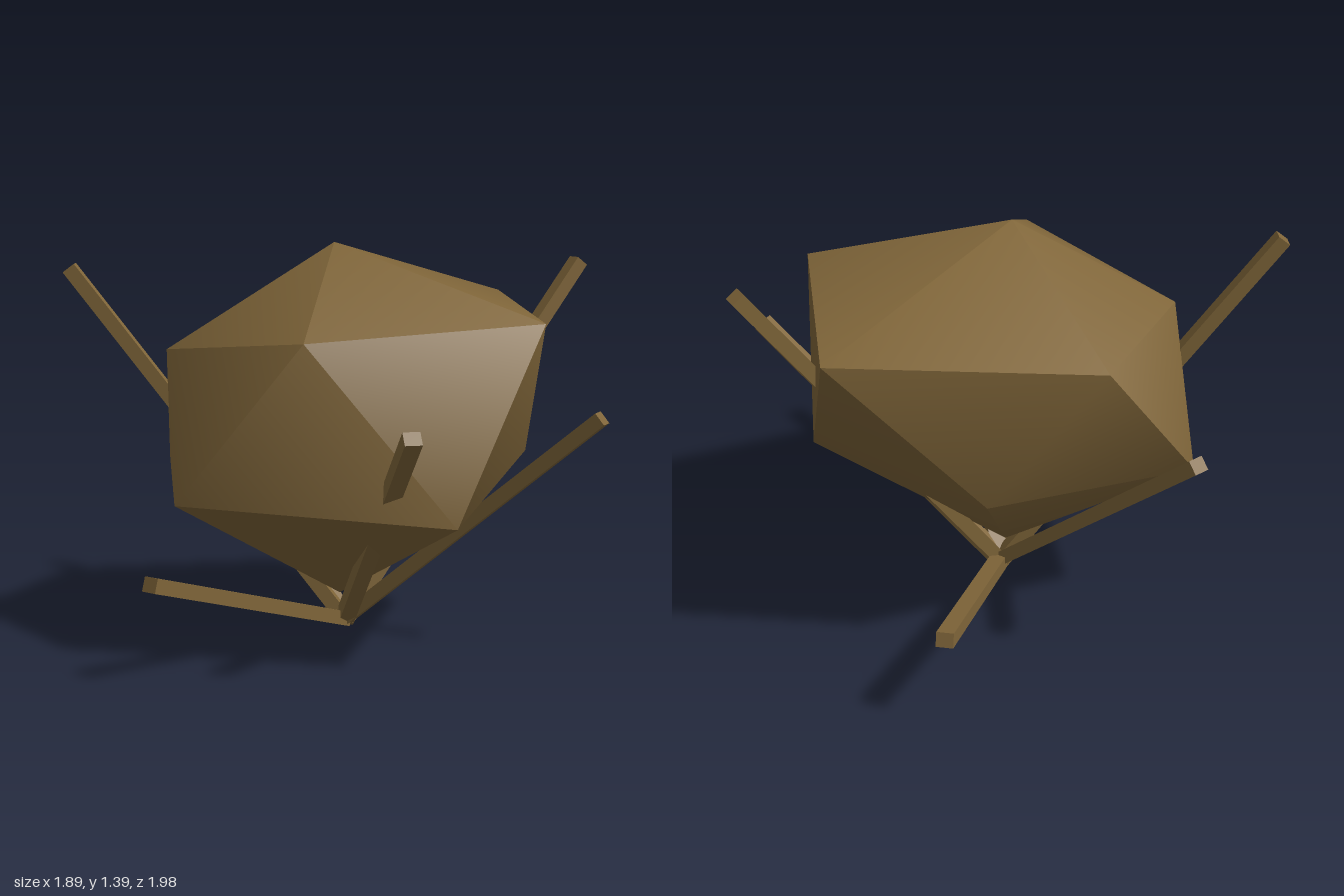
import * as THREE from 'three';
import { toCreasedNormals } from 'three/addons/utils/BufferGeometryUtils.js';

export function createModel() {
  const model = new THREE.Group();
  const wood = new THREE.MeshStandardMaterial({ color: 0x7f6539 });
  wood.name = 'brown wood';

  // Irregular lump: a distorted icosahedron (top, upper ring, lower ring, bottom)
  const points = [
    [-0.04, 1.39, 0],
    [0.76, 1.13, 0], [0.19, 1.1, 0.69], [-0.52, 1.02, 0.36], [-0.54, 1.06, -0.36], [0.24, 1.17, -0.88],
    [0.65, 0.5, 0.5], [-0.28, 0.54, 0.72], [-0.73, 0.57, 0], [-0.2, 0.6, -0.58], [0.53, 0.62, -0.43],
    [-0.02, 0.12, 0],
  ];
  const faces = [];
  for (let i = 0; i < 5; i++) {
    const j = (i + 1) % 5;
    const u = 1 + i, u2 = 1 + j, l = 6 + i, l2 = 6 + j;
    faces.push(0, u2, u, u, u2, l, u2, l2, l, l, l2, 11);
  }
  const lump = new THREE.BufferGeometry();
  lump.setAttribute('position', new THREE.Float32BufferAttribute(points.flat(), 3));
  lump.setIndex(faces);
  const body = new THREE.Mesh(toCreasedNormals(lump, THREE.MathUtils.degToRad(50)), wood);
  body.name = 'foliageLump';
  model.add(body);

  // Seven square sticks fanning out of one point at the base
  const tipHeights = [0.82, 0.83, 0.33, 1.3, 0.83, 0.33, 1.3];
  const base = new THREE.Vector3(0, 0.025, 0);
  tipHeights.forEach((height, i) => {
    const angle = (i / 7) * Math.PI * 2;
    const reach = height > 1 ? 0.975 : height < 0.5 ? 1 : 0.965;
    const tip = new THREE.Vector3(Math.cos(angle) * reach, height, Math.sin(angle) * reach);
    const geometry = new THREE.BoxGeometry(0.058, 0.05, base.distanceTo(tip));
    const stick = new THREE.Mesh(geometry, wood);
    stick.position.copy(base).lerp(tip, 0.5);
    stick.lookAt(tip);
    stick.name = `branch${i + 1}`;
    model.add(stick);
  });
  return model;
}
